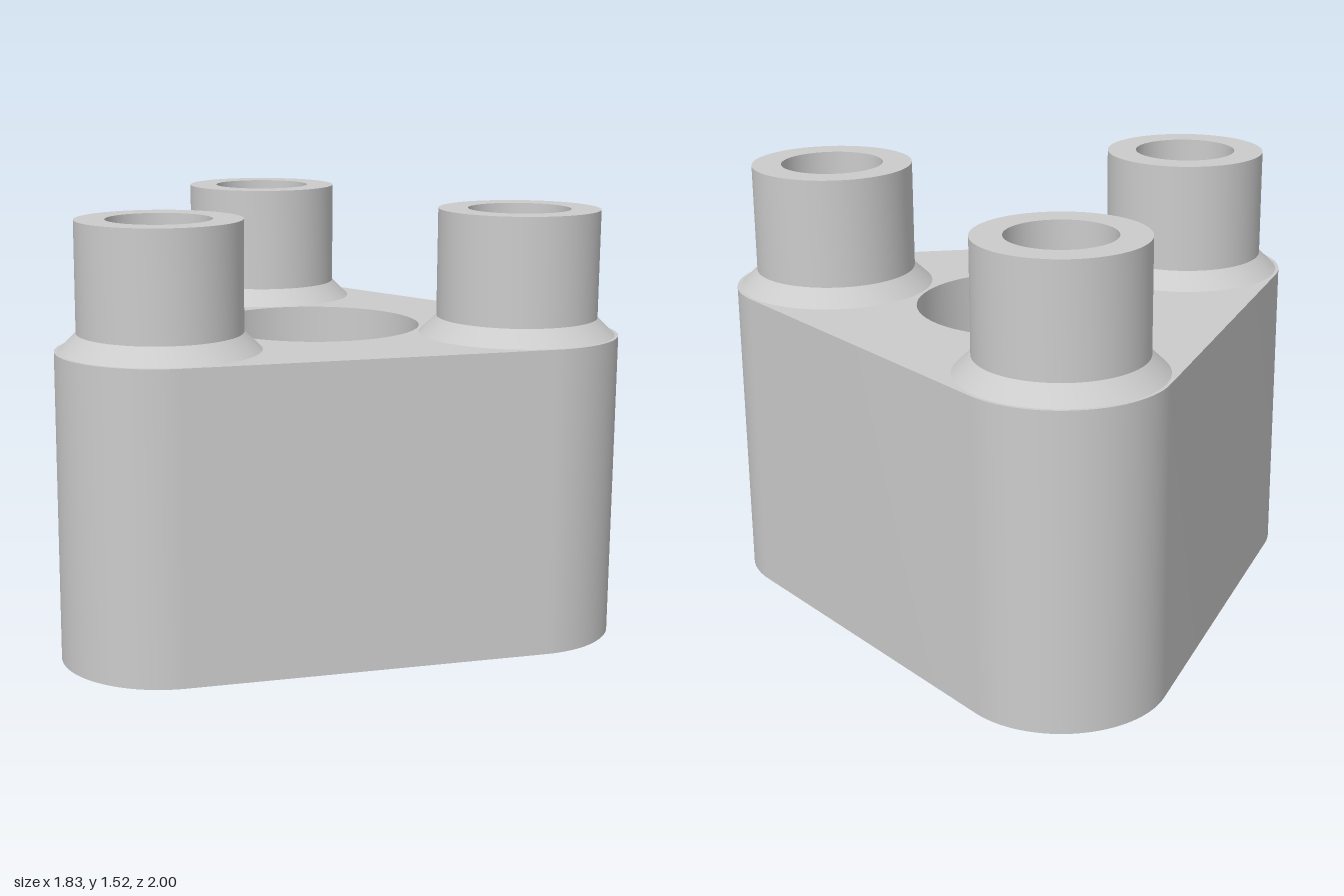
import * as THREE from 'three';
import { toCreasedNormals } from 'three/addons/utils/BufferGeometryUtils.js';

const CENTRE_X = 0.185; // centroid of the triangle of posts
const SPREAD = 0.742; // centroid to post axis
const CORNER_R = 0.357;
const BORE_R = 0.18;
const BODY_H = 1.08;
const TOP_H = 1.52;

export function createModel() {
  const group = new THREE.Group();
  const material = new THREE.MeshStandardMaterial({ color: 0xcccccc });

  const add = (name, geometry) => {
    const mesh = new THREE.Mesh(toCreasedNormals(geometry, Math.PI / 6), material);
    mesh.name = name;
    group.add(mesh);
    return mesh;
  };

  const corners = [1, 3, 5].map((k) => {
    const angle = (k * Math.PI) / 3;
    return { angle, x: CENTRE_X + SPREAD * Math.cos(angle), y: SPREAD * Math.sin(angle) };
  });

  // Rounded triangular block with a central hole and three bores
  const outline = new THREE.Shape();
  const addHole = (x, y, r) =>
    outline.holes.push(new THREE.Path().absarc(x, y, r, 0, Math.PI * 2, true));
  for (const { angle, x, y } of corners) {
    outline.absarc(x, y, CORNER_R, angle - Math.PI / 3, angle + Math.PI / 3, false);
    addHole(x, y, BORE_R);
  }
  addHole(CENTRE_X, 0, 0.385);
  const body = new THREE.ExtrudeGeometry(outline, {
    depth: BODY_H, bevelEnabled: false, curveSegments: 32,
  });
  add('body', body.rotateX(-Math.PI / 2));

  // Hollow posts with a flared foot
  const profile = [
    [0.345, BODY_H], [0.283, 1.14], [0.283, TOP_H], [BORE_R, TOP_H], [BORE_R, BODY_H],
  ].map(([r, h]) => new THREE.Vector2(r, h));
  const names = ['backLeftPost', 'rightPost', 'frontLeftPost'];
  corners.forEach(({ x, y }, i) => {
    add(names[i], new THREE.LatheGeometry(profile, 64)).position.set(x, 0, -y);
  });

  return group;
}
